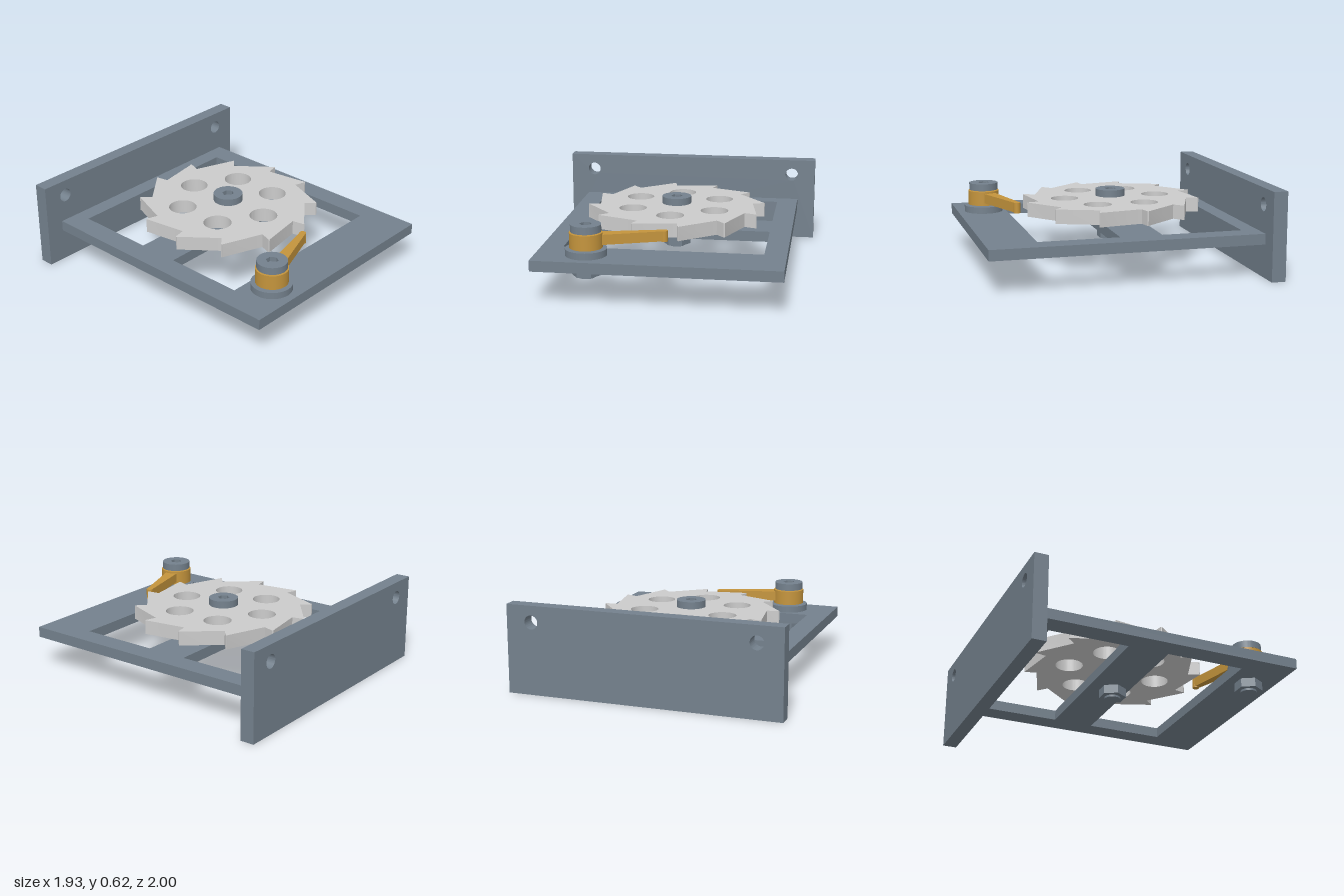
import * as THREE from 'three';
import { toCreasedNormals } from 'three/addons/utils/BufferGeometryUtils.js';

const steel = new THREE.MeshStandardMaterial({ color: 0x74818d });
const grey = new THREE.MeshStandardMaterial({ color: 0xcccccc });
const brass = new THREE.MeshStandardMaterial({ color: 0xc4943c });

function mesh(name, geometry, material) {
  const m = new THREE.Mesh(geometry, material);
  m.name = name;
  return m;
}

// Closed counter-clockwise outline from [x, y] pairs
function outline(pairs, Type = THREE.Shape) {
  const pts = pairs.map(([x, y]) => new THREE.Vector2(x, y));
  return new Type(THREE.ShapeUtils.isClockWise(pts) ? pts.reverse() : pts);
}

const rect = (x0, x1, y0, y1, Type) => outline([[x0, y0], [x1, y0], [x1, y1], [x0, y1]], Type);

// Point at a clockwise angle (degrees) from the back, as seen from above
const polar = (r, deg) => {
  const a = THREE.MathUtils.degToRad(deg);
  return [r * Math.sin(a), r * Math.cos(a)];
};

const polygon = (r, sides, Type) =>
  outline(Array.from({ length: sides }, (_, i) => polar(r, 90 + i * 360 / sides)), Type);

function circleHole(x, y, r) {
  const p = new THREE.Path();
  p.absarc(x, y, r, 0, Math.PI * 2, false);
  return p;
}

function extrude(shape, depth) {
  const g = new THREE.ExtrudeGeometry(shape, { depth, bevelEnabled: false, curveSegments: 32 });
  return toCreasedNormals(g, 0.5);
}

// Horizontal slab between two heights; shape y points to the back
function slab(name, shape, y0, y1, material) {
  return mesh(name, extrude(shape, y1 - y0).rotateX(-Math.PI / 2).translate(0, y0, 0), material);
}

function disc(name, r, y0, y1, material) {
  const g = new THREE.CylinderGeometry(r, r, y1 - y0, 48).translate(0, (y0 + y1) / 2, 0);
  return mesh(name, g, material);
}

// Socket-head bolt with shank, washer and hex nut
function createPivot(name, x, z) {
  const pivot = new THREE.Group();
  pivot.name = name;
  const head = new THREE.Shape().absarc(0, 0, 0.104, 0, Math.PI * 2);
  head.holes.push(polygon(0.042, 6, THREE.Path));
  pivot.add(
    slab('boltHead', head, 0.472, 0.523, steel),
    disc('shank', 0.058, 0.155, 0.49, steel),
    disc('washer', 0.141, 0.31, 0.357, steel),
    slab('nut', polygon(0.0985, 6), 0.17, 0.235, steel)
  );
  pivot.position.set(x, 0, z);
  return pivot;
}

// Saw-toothed wheel with six round lightening holes
function createRatchetWheel() {
  const pts = [];
  for (let i = 0; i < 12; i++) {
    const a = i * 30 - 8.3;
    pts.push(polar(0.632, a - 1.2), polar(0.638, a - 0.6), polar(0.632, a), polar(0.55, a + 0.4));
  }
  const shape = outline(pts);
  for (let i = 0; i < 6; i++) shape.holes.push(circleHole(...polar(0.338, i * 60), 0.098));
  shape.holes.push(circleHole(0, 0, 0.058));
  return slab('ratchetWheel', shape, 0.364, 0.465, grey);
}

// Pawl: round boss, tapered arm and rounded tip
function createPawl() {
  const pawl = new THREE.Group();
  pawl.name = 'pawl';
  const length = 0.527;
  const arm = outline([[0.03, -0.048], [length, -0.021], [length, 0.021], [0.03, 0.048]]);
  const tip = disc('pawlTip', 0.024, 0.378, 0.453, brass);
  tip.position.x = length;
  pawl.add(
    disc('pawlBoss', 0.112, 0.363, 0.466, brass),
    slab('pawlArm', arm, 0.383, 0.453, brass),
    tip
  );
  pawl.rotation.y = Math.atan2(0.155, 0.505);
  return pawl;
}

export function createModel() {
  const model = new THREE.Group();
  model.name = 'ratchetMechanism';

  // Flat frame with two openings, leaving a crossbar under the wheel
  const frame = rect(-0.837, 0.837, -1, 0.9);
  frame.holes.push(
    rect(-0.684, 0.684, 0.214, 0.786, THREE.Path),
    rect(-0.684, 0.684, -0.648, -0.082, THREE.Path)
  );
  model.add(slab('frame', frame, 0.235, 0.31, steel));

  // Upright mounting plate with two screw holes
  const plate = rect(-0.967, 0.967, 0, 0.62);
  for (const side of [-1, 1]) plate.holes.push(circleHole(side * 0.788, 0.505, 0.048));
  model.add(mesh('mountingPlate', extrude(plate, 0.1).translate(0, 0, -1), steel));

  // Wheel and pawl on their pivots
  const wheel = createRatchetWheel();
  wheel.position.z = -0.035;
  const pawl = createPawl();
  pawl.position.set(-0.493, 0, 0.807);
  model.add(
    wheel,
    createPivot('wheelPivot', 0, -0.035),
    pawl,
    createPivot('pawlPivot', -0.493, 0.807)
  );
  return model;
}
